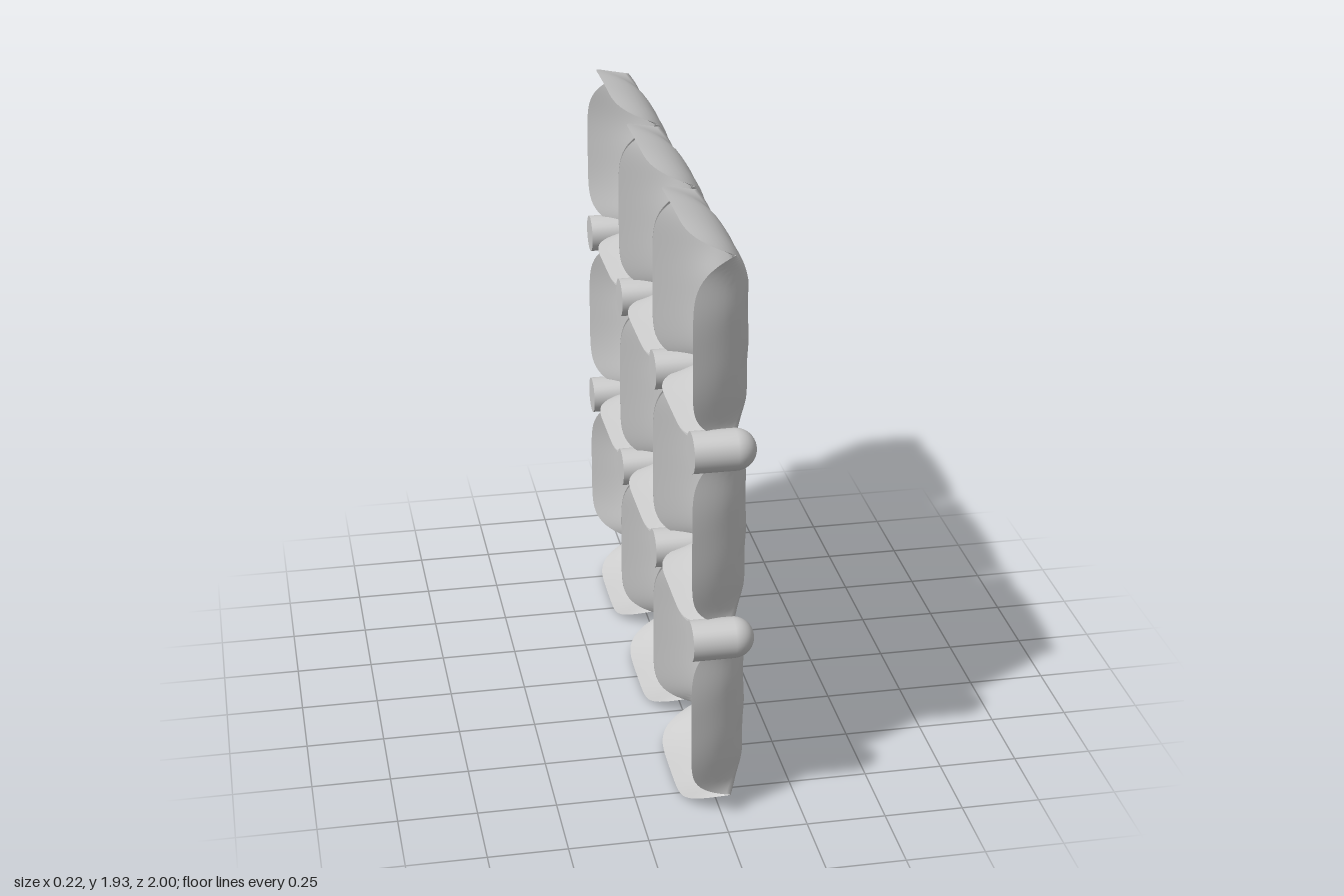
import * as THREE from 'three';

const material = new THREE.MeshStandardMaterial({ color: 0xcccccc, side: THREE.DoubleSide });

// corner positions and outward bulge of each row or column of cushions: [low, high, bulgeLow, bulgeHigh]
const columns = [[-0.90, -0.325, 0.06, 0.015], [-0.295, 0.295, 0.015, 0.015], [0.325, 0.90, 0.015, 0.06]];
const rows = [[0.07, 0.64, 0.07, 0.015], [0.67, 1.26, 0.015, 0.015], [1.29, 1.865, 0.015, 0.065]];

// coordinate across one cushion: straight between the corners, swelling beyond them at mid-edge
function spread([low, high, bulgeLow, bulgeHigh], a, b) {
  const r = Math.max(Math.abs(a), Math.abs(b));
  const along = r > 0 ? Math.abs(b) / r : 0;
  const swell = 1 - along ** 3.5;
  const bulge = a < 0 ? -bulgeLow : bulgeHigh;
  return (low + high) / 2 + a * (high - low) / 2 + bulge * swell * Math.abs(a) ** 2;
}

// open-backed cushion: high corners, sides wrapping back to the wall
function makeCushion(column, row) {
  const geometry = new THREE.PlaneGeometry(2, 2, 40, 40);
  const p = geometry.attributes.position;
  const ease = (s) => Math.sign(s) * (1 - (1 - Math.abs(s)) ** 1.5);
  for (let i = 0; i < p.count; i++) {
    const u = -ease(p.getX(i));
    const v = ease(p.getY(i));
    const r = Math.max(Math.abs(u), Math.abs(v));
    const t = r > 0 ? Math.min(Math.abs(u), Math.abs(v)) / r : 0;
    const wrap = (1 - t ** 6) * r ** 9;
    // soft wrinkles in the fabric
    const wrinkle = 0.003 * (Math.sin(6 * u + 4 * v) * Math.cos(7 * v - 3 * u) + Math.sin(11 * u - 8 * v + 1) * 0.5);
    const x = 0.107 - 0.08 * r ** 2.5 - 0.137 * wrap + wrinkle * (1 - r ** 6);
    p.setXYZ(i, x, spread(row, v, u), spread(column, u, v));
  }
  geometry.computeVertexNormals();
  return new THREE.Mesh(geometry, material);
}

// round-headed peg pointing along +x
function makePegGeometry(radius, back, front) {
  const profile = [new THREE.Vector2(0, back), new THREE.Vector2(radius, back), new THREE.Vector2(radius, back)];
  for (let i = 0; i <= 10; i++) {
    const a = (i / 10) * Math.PI / 2;
    profile.push(new THREE.Vector2(radius * Math.cos(a), front - radius + radius * Math.sin(a)));
  }
  return new THREE.LatheGeometry(profile, 28).rotateZ(-Math.PI / 2);
}

export function createModel() {
  const model = new THREE.Group();
  model.name = 'paddedPanel';

  // three by three cushions
  rows.forEach((row, j) => columns.forEach((column, i) => {
    const cushion = makeCushion(column, row);
    cushion.name = `cushion_${j + 1}_${i + 1}`;
    model.add(cushion);
  }));

  // pegs at the seam crossings and at the ends of the level seams
  const pegGeometry = makePegGeometry(0.063, -0.11, 0.085);
  for (const y of [0.65, 1.275]) {
    for (const z of [-0.935, -0.31, 0.31, 0.935]) {
      const peg = new THREE.Mesh(pegGeometry, material);
      peg.name = 'peg';
      peg.position.set(0, y, z);
      model.add(peg);
    }
  }
  return model;
}
